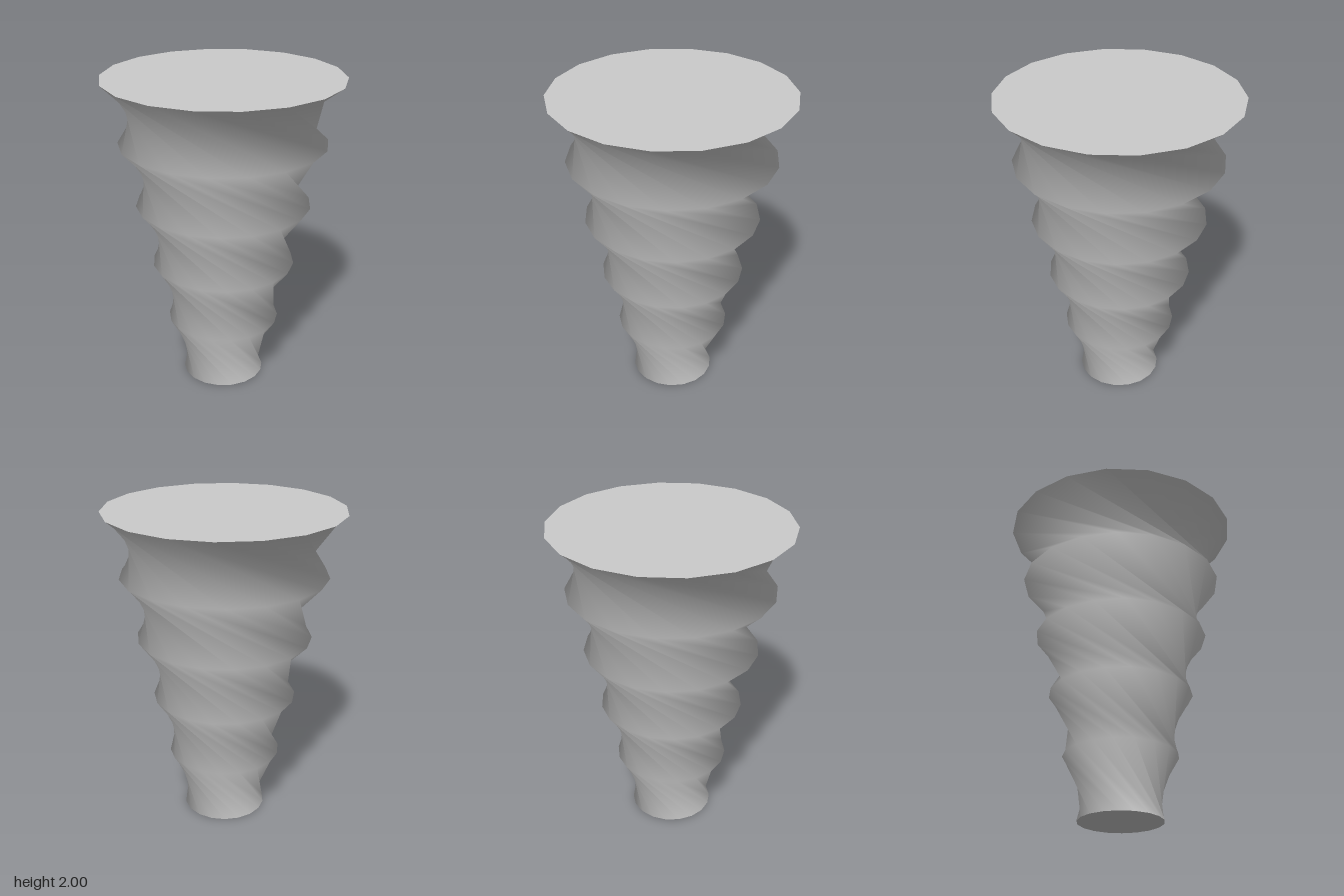
import * as THREE from 'three';

const SIDES = 18;
const LEVELS = 5;
const HEIGHT = 2;
const TWIST = THREE.MathUtils.degToRad(65); // turn of each ring over the one below
const radiusAt = (level) => 0.262 + 0.095 * level;

// Rings of vertices, each wider and turned further than the last
function twistedSkin() {
  const positions = [];
  const index = [];
  for (let i = 0; i <= LEVELS; i++) {
    for (let j = 0; j < SIDES; j++) {
      const a = (j / SIDES) * Math.PI * 2 + i * TWIST;
      positions.push(radiusAt(i) * Math.cos(a), (i / LEVELS) * HEIGHT, radiusAt(i) * Math.sin(a));
    }
  }
  // The diagonals follow the twist, which pinches each section at its waist
  for (let i = 0; i < LEVELS; i++) {
    for (let j = 0; j < SIDES; j++) {
      const next = (j + 1) % SIDES;
      const a = i * SIDES + j;
      const b = i * SIDES + next;
      const c = a + SIDES;
      const d = b + SIDES;
      index.push(a, d, b, a, c, d);
    }
  }
  const geometry = new THREE.BufferGeometry();
  geometry.setAttribute('position', new THREE.Float32BufferAttribute(positions, 3));
  geometry.setIndex(index);
  geometry.computeVertexNormals();
  return geometry;
}

// Flat disc closing one end, lined up with its ring
function cap(level, up) {
  const sign = up ? -1 : 1;
  const geometry = new THREE.CircleGeometry(radiusAt(level), SIDES, sign * level * TWIST);
  geometry.rotateX((sign * Math.PI) / 2);
  geometry.translate(0, (level / LEVELS) * HEIGHT, 0);
  return geometry;
}

export function createModel() {
  const group = new THREE.Group();
  group.name = 'twistedColumn';
  const material = new THREE.MeshStandardMaterial({ color: 0xcccccc });
  const add = (name, geometry) => {
    const mesh = new THREE.Mesh(geometry, material);
    mesh.name = name;
    group.add(mesh);
  };

  add('twistedBody', twistedSkin());
  add('topCap', cap(LEVELS, true));
  add('bottomCap', cap(0, false));
  return group;
}
